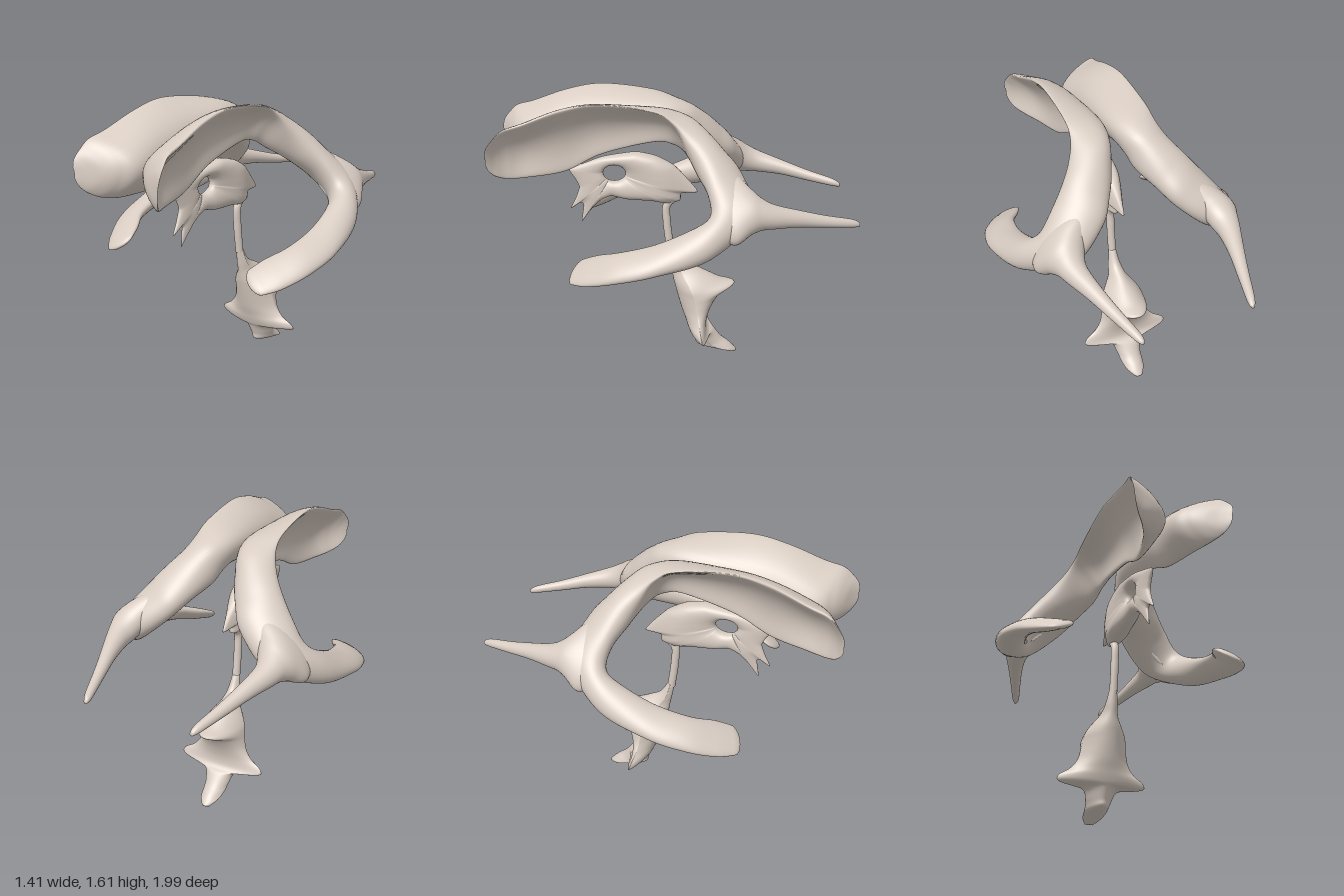
import * as THREE from 'three';

const mat = new THREE.MeshStandardMaterial({ color: 0xd9cdc3, side: THREE.DoubleSide });
const { clamp, smoothstep } = THREE.MathUtils;

// Smooth interpolation through rows of station values
function resample(rows, perSpan) {
  const out = [], n = rows.length;
  const at = i => rows[Math.min(n - 1, Math.max(0, i))];
  for (let i = 0; i < n - 1; i++) {
    for (let j = 0; j < perSpan; j++) {
      const t = j / perSpan;
      out.push(rows[i].map((b, k) => {
        const a = at(i - 1)[k], c = at(i + 1)[k], d = at(i + 2)[k];
        return b + 0.5 * t * (c - a + t * (2 * a - 5 * b + 4 * c - d + t * (3 * (b - c) + d - a)));
      }));
    }
  }
  out.push(rows[n - 1]);
  return out;
}

function centreOf(ring) {
  return ring.reduce((c, p) => c.addScaledVector(p, 1 / ring.length), new THREE.Vector3());
}

// Adds domed rings that round off the last end
function roundEnd(rings, length) {
  const [inner, ring] = rings.slice(-2);
  const c = centreOf(ring), dir = c.clone().sub(centreOf(inner)).normalize();
  return [...rings, ...[.25, .5, .7, .85, .95].map(f => {
    const a = f * Math.PI / 2;
    return ring.map(p => p.clone().sub(c).multiplyScalar(Math.cos(a)).add(c)
      .addScaledVector(dir, length * Math.sin(a)));
  })];
}

// Skin over rings of points, capped or joined in a loop, always wound outward
function loft(rings, loop = false) {
  const n = rings.length, m = rings[0].length, pos = rings.flat(), index = [];
  for (let i = 0; i < (loop ? n : n - 1); i++) {
    for (let j = 0; j < m; j++) {
      const k = (j + 1) % m, r = i * m, s = ((i + 1) % n) * m;
      index.push(r + j, r + k, s + j, r + k, s + k, s + j);
    }
  }
  (loop ? [] : [0, n - 1]).forEach((r, end) => {
    pos.push(centreOf(rings[r]));
    for (let j = 0; j < m; j++) {
      const a = r * m + j, b = r * m + (j + 1) % m;
      index.push(pos.length - 1, ...(end ? [a, b] : [b, a]));
    }
  });
  let volume = 0;
  const v = new THREE.Vector3();
  for (let i = 0; i < index.length; i += 3) {
    volume += pos[index[i]].dot(v.crossVectors(pos[index[i + 1]], pos[index[i + 2]]));
  }
  if (volume < 0) index.reverse();
  const g = new THREE.BufferGeometry().setFromPoints(pos);
  g.setIndex(index);
  g.computeVertexNormals();
  return g;
}

// Ring = centre + u cos + v (sin + bend), so the bend cups the section
function bentRing([x, y, z, ux, uy, uz, vx, vy, vz, k], side) {
  return Array.from({ length: 40 }, (_, i) => {
    const t = i / 40 * Math.PI * 2, c = Math.cos(t), s = Math.sin(t) + k * (1 - c * c);
    return new THREE.Vector3(side * (x + ux * c + vx * s), y + uy * c + vy * s, z + uz * c + vz * s);
  });
}

// Horn stations: centre, half chord u, half thickness v, bend
const frontTip = [
  [.275, 1.325, .996, .004, .03, 0, -.01, 0, -.006, 1],
  [.27, 1.325, .985, .01, .065, 0, -.022, 0, -.009, 1.5],
  [.252, 1.325, .955, .02, .105, 0, -.04, .003, -.01, 1.8],
  [.222, 1.335, .90, .037, .145, 0, -.052, .006, -.008, 1.8],
];
const curvedHorn = [
  [.19, 1.345, .80, .055, .165, 0, -.06, .008, 0, 1.8],
  [.16, 1.39, .60, .07, .19, 0, -.05, .015, 0, 1.8],
  [.155, 1.452, .40, .075, .158, 0, -.045, .01, 0, 2],
  [.15, 1.468, .12, .08, .108, 0, -.045, .018, 0, 1.8],
  [.155, 1.435, 0, .085, .085, 0, -.045, .033, -.03, 1],
  [.18, 1.378, -.085, .10, .07, .01, -.037, .052, -.052, .4],
  [.245, 1.307, -.185, .10, .065, .03, -.044, .056, -.07, 0],
  [.33, 1.21, -.262, .10, .06, .05, -.047, .057, -.08, 0],
  [.46, 1.08, -.295, .07, .07, .05, 0, .02, -.105, 0],
  [.57, .975, -.14, .05, .07, 0, .06, -.045, -.05, 0],
  [.612, .902, .10, .028, .045, 0, .085, -.045, 0, 0],
  [.59, .848, .30, .02, .04, 0, .085, -.045, .015, 0],
  [.527, .803, .43, .018, .033, 0, .083, -.048, .03, 0],
  [.48, .775, .51, .012, .022, 0, .068, -.042, .03, 0],
];

// x, y, z, then half spread along the falling and the rising diagonal
const rearHorn = [
  [.44, 1.12, -.22, .12, .05], [.44, 1.115, -.31, .14, .063], [.45, 1.105, -.39, .09, .062],
  [.448, 1.088, -.45, .06, .055], [.44, 1.07, -.52, .045, .045], [.405, 1.045, -.65, .032, .032],
  [.36, 1.01, -.8, .023, .023], [.315, .98, -.95, .016, .016], [.303, .967, -.995, .007, .007],
];

// side y, back y, front z, side z, back z, half width
const lowerCavity = [
  [.70, .70, .045, .025, .005, .022], [.61, .62, .03, 0, -.045, .037], [.55, .575, .018, -.04, -.12, .055],
  [.49, .53, .008, -.08, -.20, .10], [.45, .49, -.002, -.10, -.28, .122], [.41, .468, -.012, -.115, -.355, .13],
  [.36, .42, -.025, -.125, -.28, .138], [.30, .34, -.042, -.135, -.225, .155], [.25, .26, -.06, -.145, -.195, .195],
  [.21, .20, -.073, -.155, -.19, .255], [.175, .17, -.087, -.165, -.205, .25], [.155, .15, -.10, -.18, -.235, .11],
  [.09, .09, -.125, -.21, -.285, .075], [.05, .055, -.14, -.25, -.33, .067], [.025, .025, -.25, -.31, -.36, .055],
  [0, .005, -.345, -.36, -.378, .025],
];

// Front drawn to a keel, back spread into a hood
function cavityRing([y, backY, f, s, b, w]) {
  return Array.from({ length: 48 }, (_, i) => {
    const t = i / 48 * Math.PI * 2, c = Math.cos(t), front = c > 0;
    const e = Math.abs(c) ** (front ? 1.9 : 1.4);
    return new THREE.Vector3(w * Math.sin(t), front ? y : y + (backY - y) * e, s + ((front ? f : b) - s) * e);
  });
}

// Thin middle plate: lens sections swept around its opening, out to a ragged outline (z, y)
function middlePlate() {
  const outline = new THREE.CatmullRomCurve3([
    [.59, 1.175], [.5, 1.215], [.4, 1.25], [.22, 1.275], [.1, 1.25], [0, 1.195], [-.08, 1.11], [-.13, 1.04],
    [-.04, 1.035], [-.03, .99], [.04, .975], [.12, .99], [.27, 1.0], [.36, 1.02], [.43, .985], [.49, .92],
    [.535, .86], [.52, .96], [.54, .975], [.595, .94], [.565, 1.0], [.54, 1.07], [.56, 1.12],
  ].map(([z, y]) => new THREE.Vector3(0, y, z)), true, 'catmullrom', .3);
  const hole = new THREE.Vector3(0, 1.155, .34);
  const rings = outline.getPoints(184).slice(0, -1).map(p => {
    const a = Math.atan2(p.y - hole.y, p.z - hole.z);
    const edge = new THREE.Vector3(0, hole.y + .05 * Math.sin(a), hole.z + .062 * Math.cos(a));
    return Array.from({ length: 32 }, (_, i) => {
      const f = i / 32 * Math.PI * 2, s = Math.sin(f);
      const q = edge.clone().lerp(p, (1 - Math.cos(f)) / 2);
      const thick = .066 * (1 - .75 * clamp((q.z - .1) / .5, 0, 1))
        * (.25 + .75 * smoothstep(q.z, -.15, .08)) * clamp((q.y - .8) / .22, .3, 1);
      q.x = thick * Math.sign(s) * Math.abs(s) ** .7;
      return q;
    });
  });
  return loft(rings, true);
}

export function createModel() {
  const model = new THREE.Group();
  const add = (name, geometry) => {
    const mesh = new THREE.Mesh(geometry, mat);
    mesh.name = name;
    model.add(mesh);
  };

  // Paired C-shaped horns with a tapering rear horn
  for (const [label, side] of [['left', 1], ['right', -1]]) {
    const sections = resample([...frontTip, ...curvedHorn], 8).map(r => bentRing(r, side));
    add(label + 'CurvedHorn', loft(roundEnd(sections, .045)));
    add(label + 'RearHorn', loft(resample(rearHorn, 6).map(
      ([x, y, z, d, e]) => bentRing([x, y, z, d, -d, 0, e, e, 0, 0], side))));
  }

  // Midline parts
  add('middlePlate', middlePlate());
  const path = new THREE.CatmullRomCurve3([[1.01, .0], [.96, .045], [.85, .045], [.68, .025]]
    .map(([y, z]) => new THREE.Vector3(0, y, z)));
  add('connectingDuct', new THREE.TubeGeometry(path, 24, .023, 14));
  add('lowerCavity', loft(resample(lowerCavity, 5).map(cavityRing)));
  return model;
}
